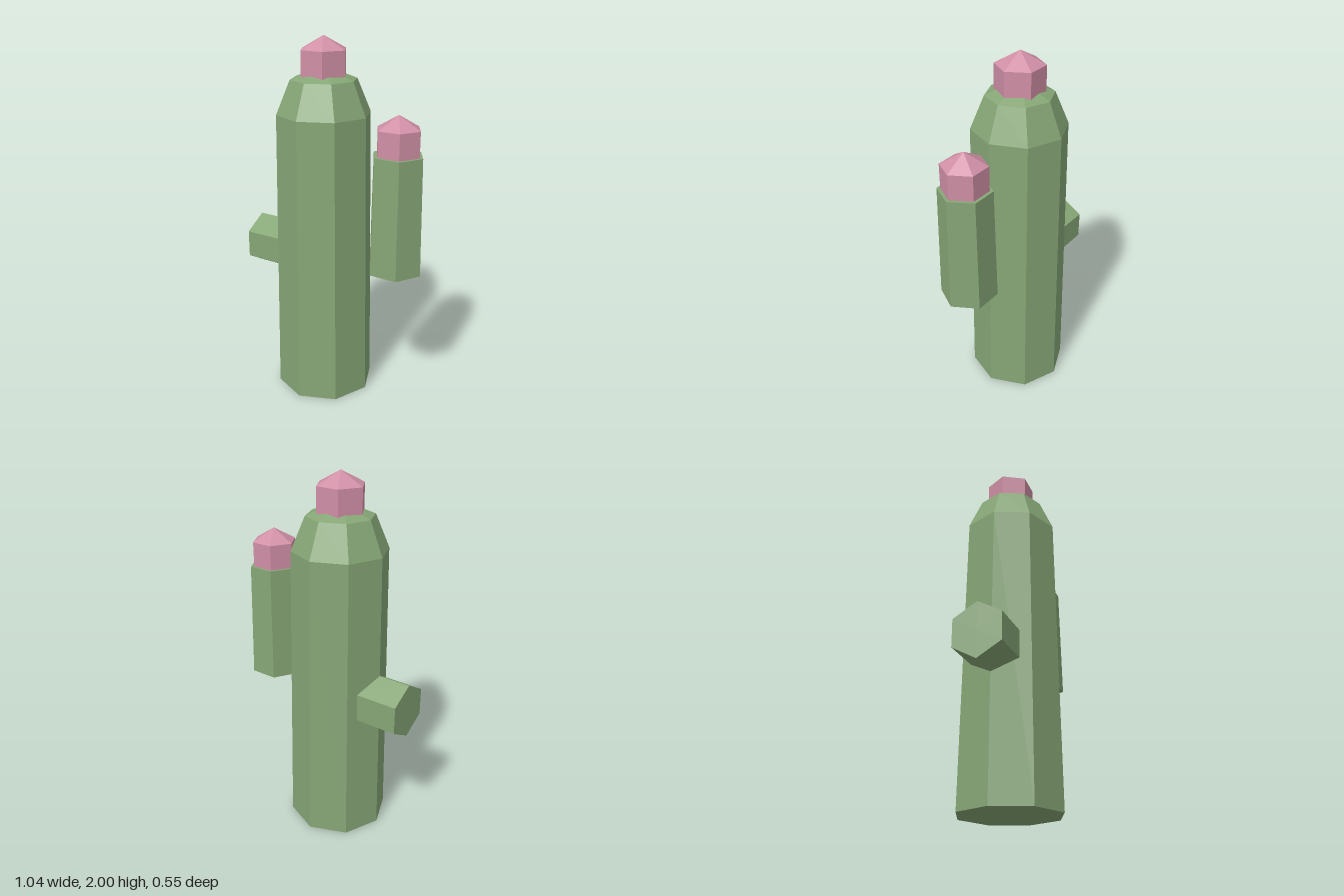
import * as THREE from 'three';

const green = new THREE.MeshStandardMaterial({ color: 0x86a676, flatShading: true });
green.name = 'cactusGreen';
const pink = new THREE.MeshStandardMaterial({ color: 0xd08fa6, flatShading: true });
pink.name = 'blossomPink';

// Faceted solid of revolution from [radius, y] pairs listed bottom to top
function turned(name, profile, sides, phiStart, material, x, y) {
  const points = profile.map(([r, h]) => new THREE.Vector2(r, h));
  const mesh = new THREE.Mesh(new THREE.LatheGeometry(points, sides, phiStart), material);
  mesh.name = name;
  mesh.position.set(x, y, 0);
  return mesh;
}

// Hexagonal parts have corners on the x axis
const hex = (name, profile, material, x, y) =>
  turned(name, profile, 6, Math.PI / 6, material, x, y);

// Hexagonal blossom with a low pointed top
const blossom = (name, r, height, tip, x, y) =>
  hex(name, [[0, 0], [r, 0], [r, height], [0, height + tip]], pink, x, y);

export function createModel() {
  const group = new THREE.Group();
  group.name = 'cactus';
  const trunkX = -0.078;
  const armX = 0.367;

  // Eight-sided trunk with a two-step domed top
  group.add(turned('trunk',
    [[0, 0], [0.277, 0], [0.255, 1.6], [0.18, 1.778], [0, 1.85]],
    8, 0, green, trunkX, 0));
  group.add(blossom('trunkBlossom', 0.131, 0.14, 0.07, trunkX, 1.79));

  // Upright arm standing beside the trunk
  group.add(hex('uprightArm', [[0, 0], [0.152, 0], [0.14, 0.635], [0, 0.635]], green, armX, 0.8));
  group.add(blossom('armBlossom', 0.121, 0.14, 0.07, armX, 1.43));

  // Short sideways stub, its inner end buried in the trunk
  const stub = hex('sideStub', [[0, 0], [0.151, 0], [0.151, 0.322], [0, 0.322]], green, -0.2, 0.803);
  stub.rotation.z = Math.PI / 2;
  group.add(stub);

  return group;
}
